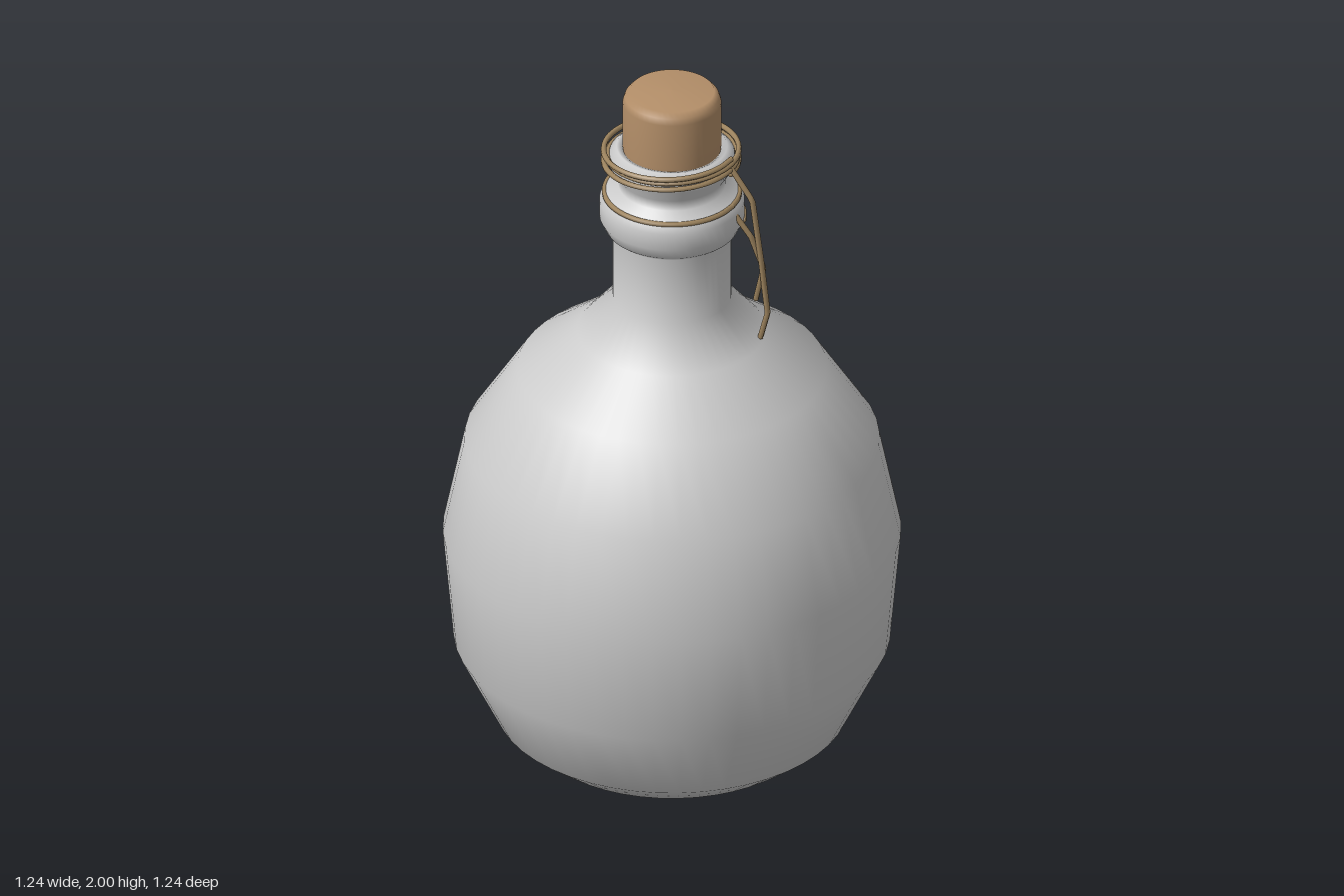
import * as THREE from 'three';

const SEGMENTS = 48;
const glass = new THREE.MeshStandardMaterial({ color: 0xcccccc, side: THREE.DoubleSide });
const corkMaterial = new THREE.MeshStandardMaterial({ color: 0xb48f69 });
const twineMaterial = new THREE.MeshStandardMaterial({ color: 0xa08660 });

// Surface of revolution from [radius, height] pairs, listed bottom to top
function lathe(name, profile, material) {
  const points = profile.map(([r, y]) => new THREE.Vector2(r, y));
  const mesh = new THREE.Mesh(new THREE.LatheGeometry(points, SEGMENTS), material);
  mesh.name = name;
  return mesh;
}

// Thin round cord along a curve, with its ends closed by small balls
function cord(name, curve, steps, radius = 0.008) {
  const group = new THREE.Group();
  group.name = name;
  group.add(new THREE.Mesh(new THREE.TubeGeometry(curve, steps, radius, 6), twineMaterial));
  for (const t of [0, 1]) {
    const end = new THREE.Mesh(new THREE.SphereGeometry(radius, 6, 4), twineMaterial);
    end.position.copy(curve.getPoint(t));
    group.add(end);
  }
  return group;
}

// Points wound around the neck; angle 0 is +x and grows toward -z
function winding(from, to, count, radiusAt, heightAt) {
  const points = [];
  for (let i = 0; i <= count; i++) {
    const t = i / count;
    const a = from + (to - from) * t;
    const r = radiusAt(t, a);
    points.push(new THREE.Vector3(r * Math.cos(a), heightAt(t, a), -r * Math.sin(a)));
  }
  return new THREE.CatmullRomCurve3(points);
}

// Hanging end with straight, slightly kinked stretches
function hanging(points) {
  const path = new THREE.CurvePath();
  const v = points.map((p) => new THREE.Vector3(...p));
  for (let i = 1; i < v.length; i++) path.add(new THREE.LineCurve3(v[i - 1], v[i]));
  return path;
}

export function createModel() {
  const model = new THREE.Group();
  model.name = 'corkedBottle';

  // Round body, straight neck, collar and flared lip
  model.add(lathe('bottle', [
    [0, 0.005], [0.39, 0], [0.48, 0.07], [0.593, 0.3], [0.622, 0.625],
    [0.563, 0.91], [0.42, 1.13], [0.257, 1.25], [0.162, 1.36], [0.162, 1.56],
    [0.18, 1.575], [0.197, 1.61], [0.197, 1.66], [0.18, 1.69], [0.145, 1.705],
    [0.145, 1.735], [0.17, 1.775], [0.17, 1.805], [0.15, 1.825], [0.13, 1.82], [0.128, 1.7],
  ], glass));

  // Cork stopper with a rounded top edge
  model.add(lathe('cork', [
    [0, 1.66], [0.125, 1.66], [0.134, 1.83], [0.134, 1.965], [0.128, 1.983], [0.115, 1.997], [0, 2],
  ], corkMaterial));

  // Twine wound three times under the lip
  const twine = new THREE.Group();
  twine.name = 'twine';
  const turn = Math.PI * 2;
  twine.add(cord('lipWinding', winding(0, turn * 3, 72,
    (t) => 0.18 + 0.006 * Math.sin(t * turn * 1.5),
    (t, a) => 1.778 + 0.047 * t + 0.006 * Math.cos(a)), 180));

  // Loop above the collar and a partial loop around the back of it
  twine.add(cord('collarLoop', winding(0, turn, 24, () => 0.183, () => 1.684), 64));
  twine.add(cord('backLoop', winding(0.35, 3.3, 14, () => 0.196, () => 1.607), 40));

  // Two loose ends hanging at the side
  twine.add(cord('longEnd', hanging([
    [0.175, 1.81, 0], [0.24, 1.71, -0.012], [0.258, 1.52, -0.028],
    [0.27, 1.35, -0.043], [0.245, 1.265, -0.05],
  ]), 32));
  twine.add(cord('shortEnd', hanging([
    [0.175, 1.68, 0], [0.232, 1.59, -0.02], [0.26, 1.49, -0.038], [0.23, 1.38, -0.052],
  ]), 24));
  model.add(twine);

  return model;
}
